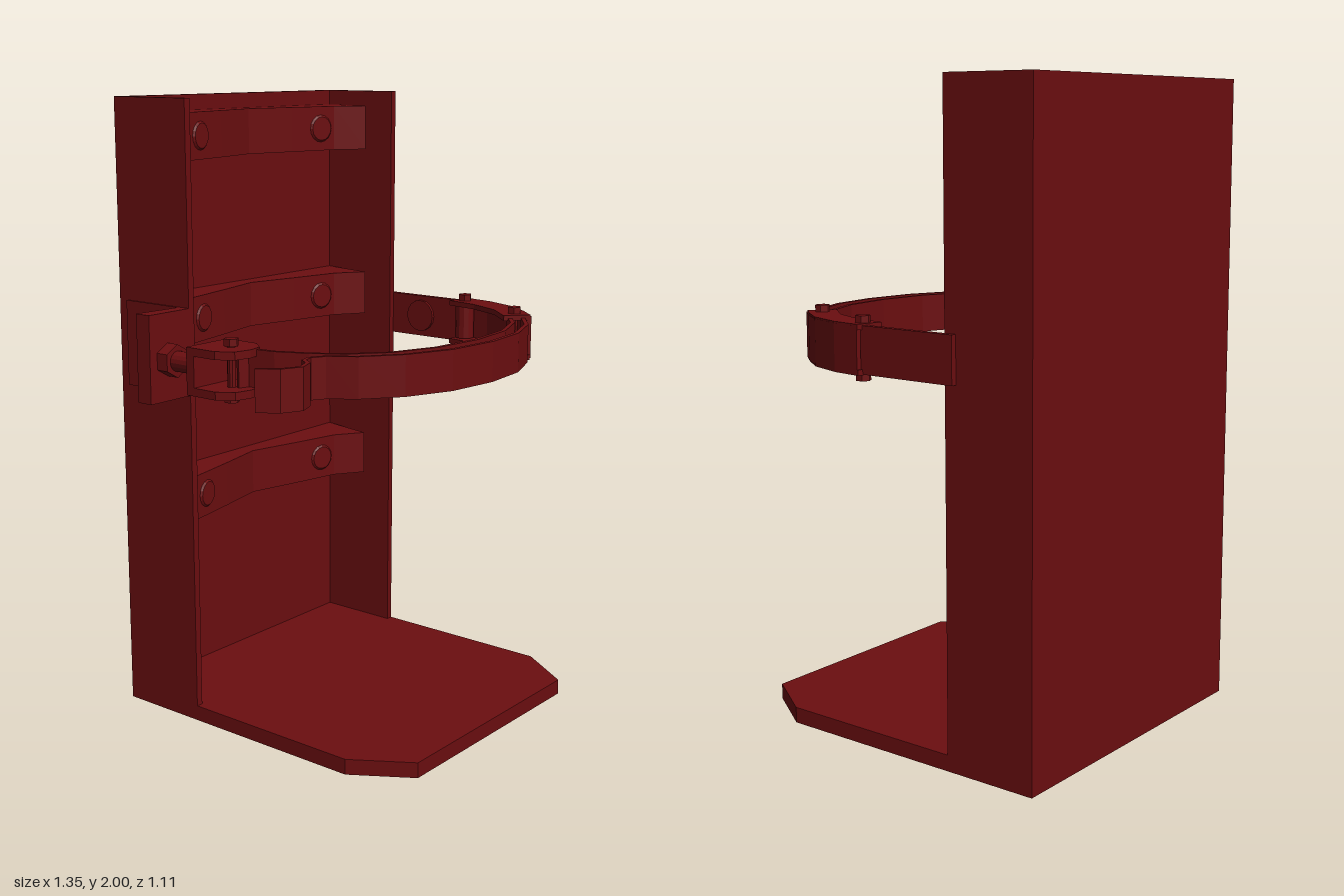
import * as THREE from 'three';

const material = new THREE.MeshStandardMaterial({ color: 0x6b0e10, flatShading: true });

export function createModel() {
  const model = new THREE.Group();
  model.name = 'cylinderWallBracket';

  const add = (name, geometry, x = 0, y = 0, z = 0) => {
    const mesh = new THREE.Mesh(geometry, material);
    mesh.name = name;
    mesh.position.set(x, y, z);
    model.add(mesh);
    return mesh;
  };
  const box = (name, x0, x1, y0, y1, z0, z1) =>
    add(name, new THREE.BoxGeometry(x1 - x0, y1 - y0, z1 - z0), (x0 + x1) / 2, (y0 + y1) / 2, (z0 + z1) / 2);

  // Extrudes an [x, z] outline upward from y0 to y1
  const plan = (name, outline, y0, y1) => {
    const shape = new THREE.Shape(outline.map(([x, z]) => new THREE.Vector2(x, -z)));
    const geometry = new THREE.ExtrudeGeometry(shape, { depth: y1 - y0, bevelEnabled: false });
    geometry.rotateX(-Math.PI / 2);
    return add(name, geometry, 0, y0, 0);
  };

  // Thin upright strip of constant thickness following an [x, z] path
  const band = (name, path, thickness, y0, y1) => {
    const sides = [[], []];
    path.forEach(([x, z], i) => {
      const a = path[Math.max(i - 1, 0)], b = path[Math.min(i + 1, path.length - 1)];
      const dx = b[0] - a[0], dz = b[1] - a[1];
      const k = thickness / 2 / Math.hypot(dx, dz);
      sides[0].push([x - dz * k, z + dx * k]);
      sides[1].unshift([x + dz * k, z - dx * k]);
    });
    return plan(name, [...sides[0], ...sides[1]], y0, y1);
  };

  // Tray: back, side walls and chamfered base
  box('backPanel', -0.41, 0.64, 0, 2, -0.555, -0.53);
  box('rightWall', -0.41, -0.387, 0, 2, -0.555, -0.25);
  box('leftWall', 0.617, 0.64, 0, 2, -0.555, -0.25);
  plan('base', [[-0.41, -0.555], [-0.41, 0.37], [-0.29, 0.555], [0.52, 0.555], [0.64, 0.37], [0.64, -0.555]], 0, 0.05);

  // Three cradles, each with two domed rivets
  const cradle = [[-0.385, -0.535], [-0.34, -0.33], [-0.24, -0.393], [-0.06, -0.43], [0.117, -0.47],
    [0.295, -0.43], [0.475, -0.393], [0.573, -0.33], [0.617, -0.535]];
  for (const y of [0.62, 1.215, 1.8]) {
    plan('cradle', cradle, y, y + 0.15);
    for (const side of [-1, 1]) {
      const rivet = add('cradleRivet', new THREE.CylinderGeometry(0.04, 0.055, 0.014, 16),
        0.117 + side * 0.3, y + 0.075, -0.406);
      rivet.rotation.order = 'YXZ';
      rivet.rotation.set(Math.PI / 2, -side * 0.21, 0);
    }
  }

  // Latch mount: tab, flange against the wall, nut and bolt
  plan('latchTab', [[-0.58, -0.305], [-0.58, -0.25], [-0.4, -0.25], [-0.4, -0.29]], 1.09, 1.365);
  box('latchFlange', -0.416, -0.4, 1.09, 1.365, -0.52, -0.25);
  add('latchNut', new THREE.CylinderGeometry(0.052, 0.052, 0.045, 6), -0.505, 1.22, -0.23).rotation.x = Math.PI / 2;
  add('latchBolt', new THREE.CylinderGeometry(0.032, 0.032, 0.14, 16), -0.505, 1.22, -0.15).rotation.x = Math.PI / 2;

  // Clevis: web joining two cheeks
  const cheek = [[-0.587, -0.09], [-0.587, 0.025], [-0.555, 0.075], [-0.5, 0.087], [-0.45, 0.078], [-0.41, 0.03], [-0.41, -0.09]];
  plan('clevisCheek', cheek, 1.145, 1.17);
  plan('clevisCheek', cheek, 1.265, 1.29);
  box('clevisWeb', -0.587, -0.41, 1.17, 1.265, -0.09, -0.06);

  // Inner strap, hooked around the clevis pin
  band('innerStrap', [[-0.5, 0.035], [-0.465, 0.05], [-0.452, 0.14], [-0.41, 0.235], [-0.35, 0.325], [-0.25, 0.41],
    [-0.1, 0.468], [0.08, 0.487], [0.26, 0.467], [0.4, 0.41], [0.5, 0.33]], 0.014, 1.16, 1.285);

  // Outer lever with wavy finger grip
  band('lever', [[-0.674, 0.26], [-0.635, 0.318], [-0.575, 0.345], [-0.52, 0.322], [-0.497, 0.288], [-0.46, 0.276],
    [-0.415, 0.3], [-0.36, 0.375], [-0.25, 0.46], [-0.1, 0.52], [0.08, 0.54], [0.25, 0.522],
    [0.4, 0.462], [0.5, 0.385]], 0.014, 1.16, 1.285);

  // Hinge link: curved channel with two flanges and an outer wall
  const outer = [[0.667, 0.05], [0.655, 0.15], [0.615, 0.265], [0.56, 0.345], [0.508, 0.405]];
  const flange = [[0.59, 0.03], [0.57, 0.145], [0.52, 0.26], [0.44, 0.35], [0.508, 0.41], [0.56, 0.352],
    [0.62, 0.27], [0.662, 0.15], [0.675, 0.047]];
  plan('linkFlange', flange, 1.145, 1.162);
  plan('linkFlange', flange, 1.278, 1.295);
  band('linkWall', outer, 0.015, 1.15, 1.29);

  // Hinge arm on the side wall, its knuckle and rivet
  box('hingeArm', 0.638, 0.658, 1.147, 1.29, -0.29, 0.05);
  add('hingeKnuckle', new THREE.CylinderGeometry(0.032, 0.032, 0.11, 12), 0.628, 1.22, 0.068);
  add('hingeRivet', new THREE.CylinderGeometry(0.055, 0.055, 0.012, 16), 0.634, 1.22, -0.125).rotation.z = Math.PI / 2;

  // Pivot pins with hexagonal heads
  for (const [x, z] of [[-0.503, 0.013], [0.628, 0.068], [0.506, 0.348]]) {
    add('pivotPin', new THREE.CylinderGeometry(0.013, 0.013, 0.17, 10), x, 1.22, z);
    for (const y of [1.135, 1.305])
      add('pinHead', new THREE.CylinderGeometry(0.023, 0.023, 0.022, 6), x, y, z);
  }

  return model;
}
